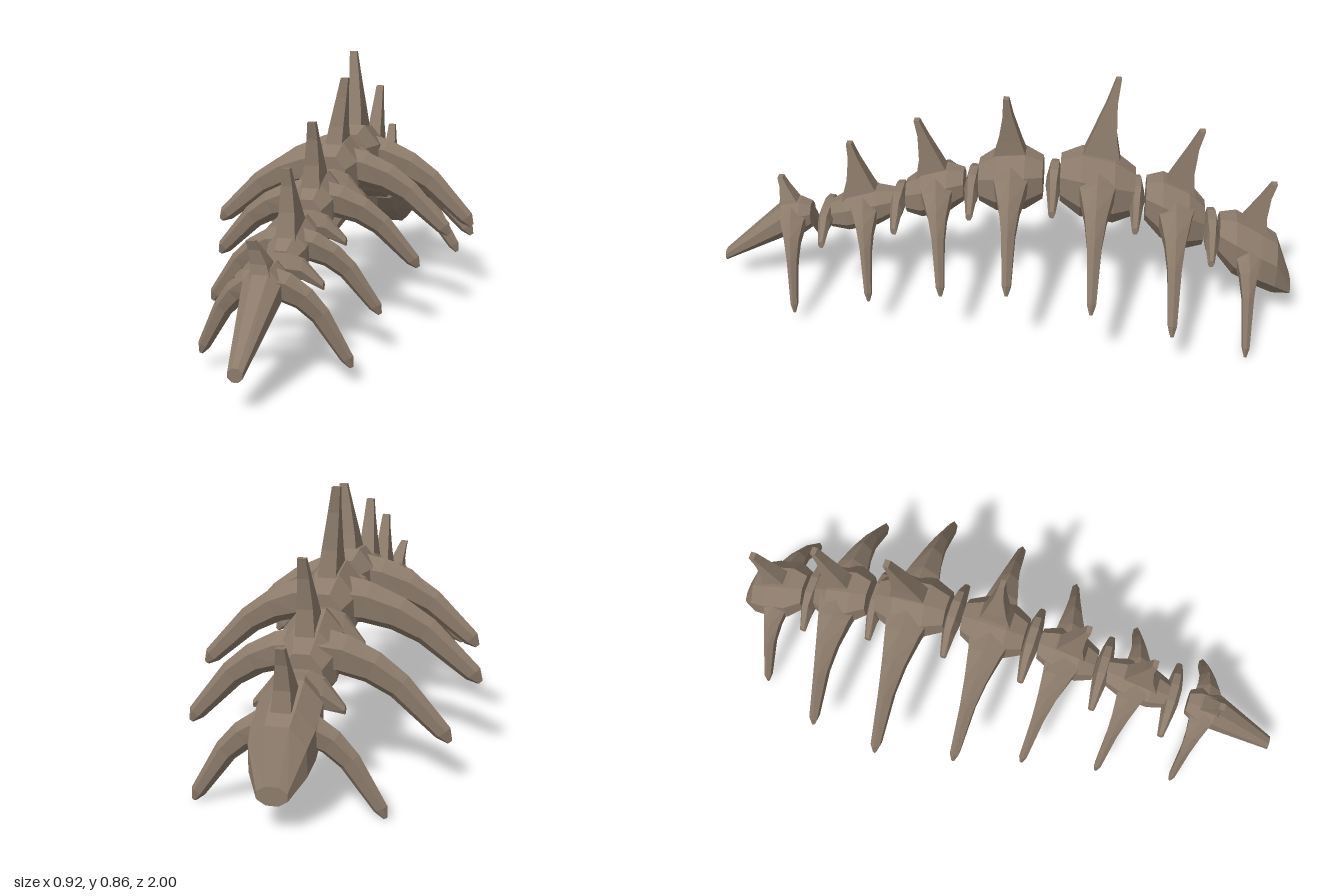
import * as THREE from 'three';

const V = (x, y, z) => new THREE.Vector3(x, y, z);
const lerp = THREE.MathUtils.lerp;
const CX = 0.025; // the spine sits slightly off the centre line
const material = new THREE.MeshStandardMaterial({ color: 0x8c7b6b, flatShading: true });

// Corners of a regular polygon, with flat sides reaching 1 when turned by half a step.
function polygon(n, turn) {
  const scale = 1 / Math.cos(turn * Math.PI * 2 / n);
  return Array.from({ length: n }, (_, i) => {
    const a = (i + turn) * Math.PI * 2 / n;
    return [Math.cos(a) * scale, Math.sin(a) * scale];
  });
}
const HEXAGON = polygon(6, 0);
const OCTAGON = polygon(8, 0.5);
const SQUARE = polygon(4, 0.5);

// Skin a series of equal-sized rings and close both ends, facing outwards.
function loft(rings, name) {
  const tris = [];
  const n = rings[0].length;
  for (let i = 0; i + 1 < rings.length; i++) {
    for (let j = 0; j < n; j++) {
      const k = (j + 1) % n;
      const [a, b, c, d] = [rings[i][j], rings[i][k], rings[i + 1][k], rings[i + 1][j]];
      tris.push([a, b, c], [a, c, d]);
    }
  }
  const first = rings[0], last = rings[rings.length - 1];
  for (let j = 1; j + 1 < n; j++) {
    tris.push([first[0], first[j + 1], first[j]], [last[0], last[j], last[j + 1]]);
  }
  const volume = tris.reduce((sum, [a, b, c]) => sum + a.dot(b.clone().cross(c)), 0);
  const points = tris.flatMap(([a, b, c]) => (volume < 0 ? [a, c, b] : [a, b, c]));
  const geo = new THREE.BufferGeometry().setFromPoints(points);
  geo.computeVertexNormals();
  const mesh = new THREE.Mesh(geo, material);
  mesh.name = name;
  return mesh;
}

// Octagonal body, pinched at both ends and tilted along the spine; sections run front to back.
function body(v, slope, frontEnd, backEnd) {
  const sections = [1, 0.45, -0.45, -1].map((t) => {
    const s = Math.abs(t) === 1 ? 0.68 : 1;
    const dz = t * v.len;
    return [v.z + dz, v.y + dz * slope, v.h * s, v.w * s];
  });
  if (frontEnd) sections[0] = frontEnd;
  if (backEnd) {
    const tail = sections[3];
    tail[2] = v.h * 0.95;
    tail[3] = v.w * 0.9;
    sections.push(backEnd);
  }
  return loft(sections.map(([z, y, h, w]) =>
    OCTAGON.map(([a, b]) => V(CX + a * w, y + b * h, z))), 'vertebraBody');
}

// Rib that arches out and down, thinning towards a chiselled tip.
function rib(v, slope, tipX, name) {
  const size = 0.35 + 1.4 * Math.abs(tipX - CX);
  const rootY = v.y + v.h * 0.15;
  const sweep = Math.min(0, slope) * 0.2;
  const at = (r) => V(lerp(CX, tipX, r), lerp(rootY, v.tipY, r ** 2.2), v.z + sweep * r);
  const rings = [0.04, 0.24, 0.45, 0.64, 0.95, 1].map((r) => {
    const along = at(r + 0.03).sub(at(r - 0.03));
    const up = V(-along.y, along.x, 0).normalize();
    const s = r === 1 ? size * 0.35 : size;
    const h = s * (0.08 - 0.053 * r);
    const d = s * (0.018 + 0.085 * (1 - r) ** 2);
    return HEXAGON.map(([a, b]) => at(r).addScaledVector(up, a * h).add(V(0, 0, b * d)));
  });
  return loft(rings, name);
}

// Leaning upright process, wide at the base and narrow at the tip.
function dorsalSpine(v) {
  const [x, y, z] = v.spine;
  const rings = [0, 0.38, 0.75, 1].map((t) => {
    const lean = t ** 1.4;
    const w = lerp(0.032, 0.013, t);
    const d = 0.009 + v.len * 0.55 * (1 - t) ** 1.5;
    return SQUARE.map(([a, b]) =>
      V(lerp(CX, x, lean) + a * w, lerp(v.y + v.h * 0.5, y, t), lerp(v.z, z, lean) + b * d));
  });
  return loft(rings, 'dorsalSpine');
}

// Thin disc with short drooping side points.
function disc(a, b) {
  const y = (a.y + b.y) / 2, z = (a.z + b.z) / 2, height = (a.h + b.h) * 0.32;
  const rings = [-1, -0.55, -0.22, 0.22, 0.55, 1].map((t) => {
    const f = 1 - Math.abs(t);
    const h = lerp(0.014, height, Math.min(1, f * 1.6));
    const d = lerp(0.011, 0.028, Math.min(1, f * 1.4));
    return HEXAGON.map(([p, q]) => V(CX + t * 0.138, y - 0.05 * t ** 4 + q * h, z + p * d));
  });
  return loft(rings, 'spinalDisc');
}

// Front to back: body centre and half sizes, rib tips (right x, left x, y), dorsal spine tip
const VERTEBRAE = [
  { z: 0.74, y: 0.295, len: 0.07, h: 0.065, w: 0.058, ribs: [-0.195, 0.27], tipY: 0.06, spine: [-0.003, 0.44, 0.78] },
  { z: 0.485, y: 0.35, len: 0.115, h: 0.068, w: 0.062, ribs: [-0.26, 0.29], tipY: 0.14, spine: [0.02, 0.6, 0.522] },
  { z: 0.23, y: 0.435, len: 0.1, h: 0.082, w: 0.07, ribs: [-0.33, 0.355], tipY: 0.225, spine: [0.03, 0.705, 0.285] },
  { z: -0.03, y: 0.495, len: 0.108, h: 0.105, w: 0.085, ribs: [-0.41, 0.415], tipY: 0.285, spine: [0.057, 0.812, -0.015] },
  { z: -0.322, y: 0.487, len: 0.125, h: 0.117, w: 0.092, ribs: [-0.455, 0.45], tipY: 0.255, spine: [-0.007, 0.868, -0.375] },
  { z: -0.585, y: 0.4, len: 0.1, h: 0.108, w: 0.092, ribs: [-0.4, 0.41], tipY: 0.155, spine: [0.027, 0.71, -0.655] },
  { z: -0.84, y: 0.26, len: 0.1, h: 0.105, w: 0.094, ribs: [-0.258, 0.312], tipY: 0.015, spine: [0.02, 0.52, -0.908] },
];

// Closing sections of the two ends: z, y, half height, half width
const FRONT_TIP = [1, 0.12, 0.02, 0.022];
const BACK_TIP = [-1, 0.125, 0.028, 0.045];

export function createModel() {
  const model = new THREE.Group();
  model.name = 'spineSkeleton';
  const end = VERTEBRAE.length - 1;

  VERTEBRAE.forEach((v, i) => {
    const before = VERTEBRAE[Math.max(i - 1, 0)], after = VERTEBRAE[Math.min(i + 1, end)];
    const slope = (before.y - after.y) / (before.z - after.z);
    const group = new THREE.Group();
    group.name = `vertebra${i + 1}`;
    group.add(
      body(v, slope, i === 0 && FRONT_TIP, i === end && BACK_TIP),
      rib(v, slope, v.ribs[0], 'rightRib'),
      rib(v, slope, v.ribs[1], 'leftRib'),
      dorsalSpine(v),
    );
    model.add(group);
    if (i < end) model.add(disc(v, after));
  });
  return model;
}
